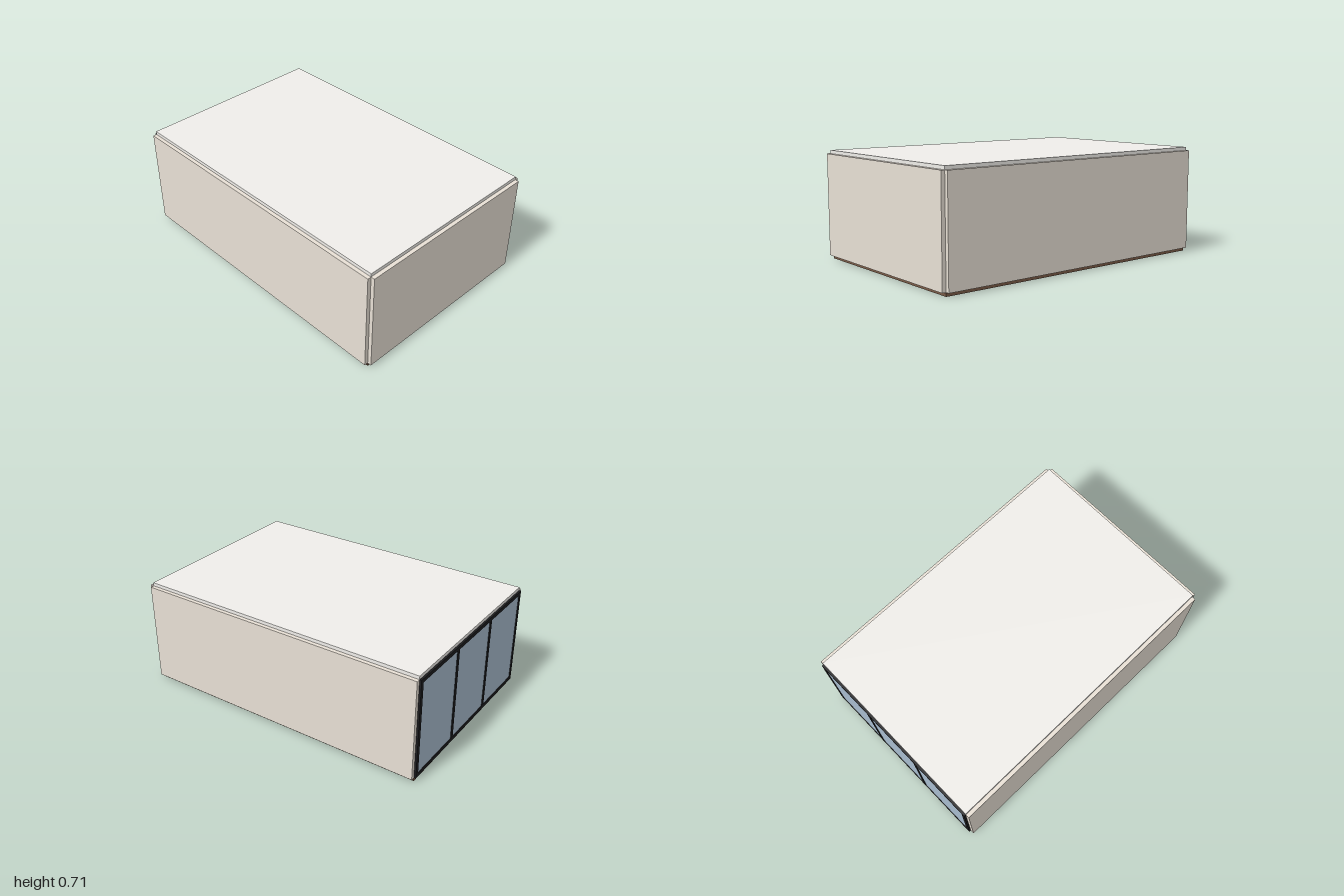
import * as THREE from 'three';

export function createModel() {
  const model = new THREE.Group();
  model.name = 'room';

  const paint = (color) => new THREE.MeshStandardMaterial({ color });
  const wallPaint = paint(0xe8e0d5);
  const ceilingPaint = paint(0xf0eeea);
  const floorWood = paint(0x785a46);
  const frameMetal = paint(0x1c1c1e);
  const glassBlue = paint(0xa8bccf);

  // Box given by its two opposite corners
  function slab(name, material, [x0, y0, z0], [x1, y1, z1], parent = model) {
    const mesh = new THREE.Mesh(new THREE.BoxGeometry(x1 - x0, y1 - y0, z1 - z0), material);
    mesh.position.set((x0 + x1) / 2, (y0 + y1) / 2, (z0 + z1) / 2);
    mesh.name = name;
    parent.add(mesh);
  }

  const halfW = 0.639, outerW = 0.664;      // inner and outer half widths
  const bottom = 0.024, top = 0.684;        // wall heights
  const front = 0.975, back = -0.987;       // inner depth

  // Floor, ceiling and walls, butted together without overlapping corners
  slab('floor', floorWood, [-halfW, 0, back], [halfW, bottom, front]);
  slab('ceiling', ceilingPaint, [-halfW, top, back], [halfW, 0.706, front]);
  slab('frontWall', wallPaint, [-halfW, bottom, front], [halfW, top, 1]);
  slab('leftWall', wallPaint, [halfW, bottom, back], [outerW, top, front]);
  slab('rightWall', wallPaint, [-outerW, bottom, back], [-halfW, top, front]);

  // Window wall across the open back: rails, posts and three panes
  const windowWall = new THREE.Group();
  windowWall.name = 'windowWall';
  model.add(windowWall);
  const bar = 0.024, zOut = -1, zIn = back;
  slab('bottomRail', frameMetal, [-halfW, bottom, zOut], [halfW, bottom + bar, zIn], windowWall);
  slab('topRail', frameMetal, [-halfW, top - bar, zOut], [halfW, top, zIn], windowWall);

  const panes = 3;
  const pitch = (2 * halfW - bar) / panes;
  for (let i = 0; i <= panes; i++) {
    const x = -halfW + i * pitch;
    slab('post', frameMetal, [x, bottom + bar, zOut], [x + bar, top - bar, zIn], windowWall);
    if (i < panes) {
      slab('pane', glassBlue, [x + bar, bottom + bar, -0.996], [x + pitch, top - bar, -0.991], windowWall);
    }
  }

  return model;
}
